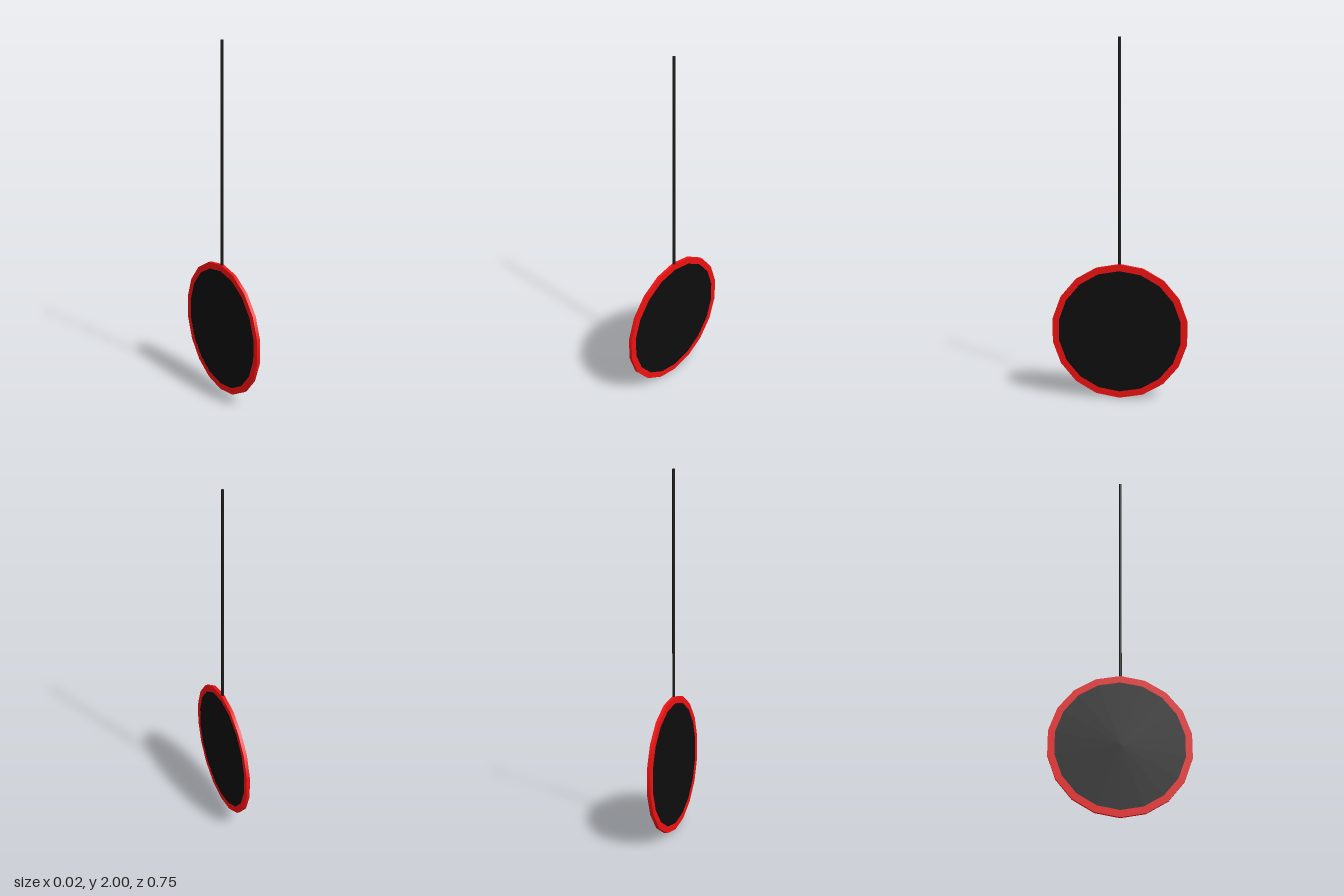
import * as THREE from 'three';
import { toCreasedNormals } from 'three/addons/utils/BufferGeometryUtils.js';

const SIDES = 18;
const RADIUS = 0.383;   // outer radius of the rim
const INNER = 0.346;    // inner radius of the rim
const HALF = 0.0095;    // half the rim thickness
const ROD = 0.008;      // rod radius
const TOP = 2;

function addPart(group, name, geometry, color) {
  const mesh = new THREE.Mesh(geometry, new THREE.MeshStandardMaterial({ color }));
  mesh.name = name;
  group.add(mesh);
  return mesh;
}

export function createModel() {
  const group = new THREE.Group();
  group.name = 'hangingRoundSign';

  // Red rim: rectangular section turned about the x axis, a corner pointing up
  const section = [[RADIUS, -HALF], [RADIUS, HALF], [INNER, HALF], [INNER, -HALF], [RADIUS, -HALF]]
    .map(([r, h]) => new THREE.Vector2(r, h));
  const rim = toCreasedNormals(new THREE.LatheGeometry(section, SIDES, Math.PI / 2), 0.6);
  rim.rotateZ(Math.PI / 2);
  addPart(group, 'rim', rim, 0xee1111).position.y = RADIUS;

  // Black panel filling the rim
  const panel = new THREE.CylinderGeometry(INNER, INNER, HALF * 1.94, SIDES, 1, false, Math.PI / 2);
  panel.rotateZ(Math.PI / 2);
  addPart(group, 'panel', panel, 0x0d0d0d).position.y = RADIUS;

  // Thin rod rising from the top of the rim
  const bottom = 2 * RADIUS - 0.01;
  const rod = new THREE.CylinderGeometry(ROD, ROD, TOP - bottom, 12);
  addPart(group, 'rod', rod, 0x1a1a1a).position.y = (TOP + bottom) / 2;

  return group;
}
